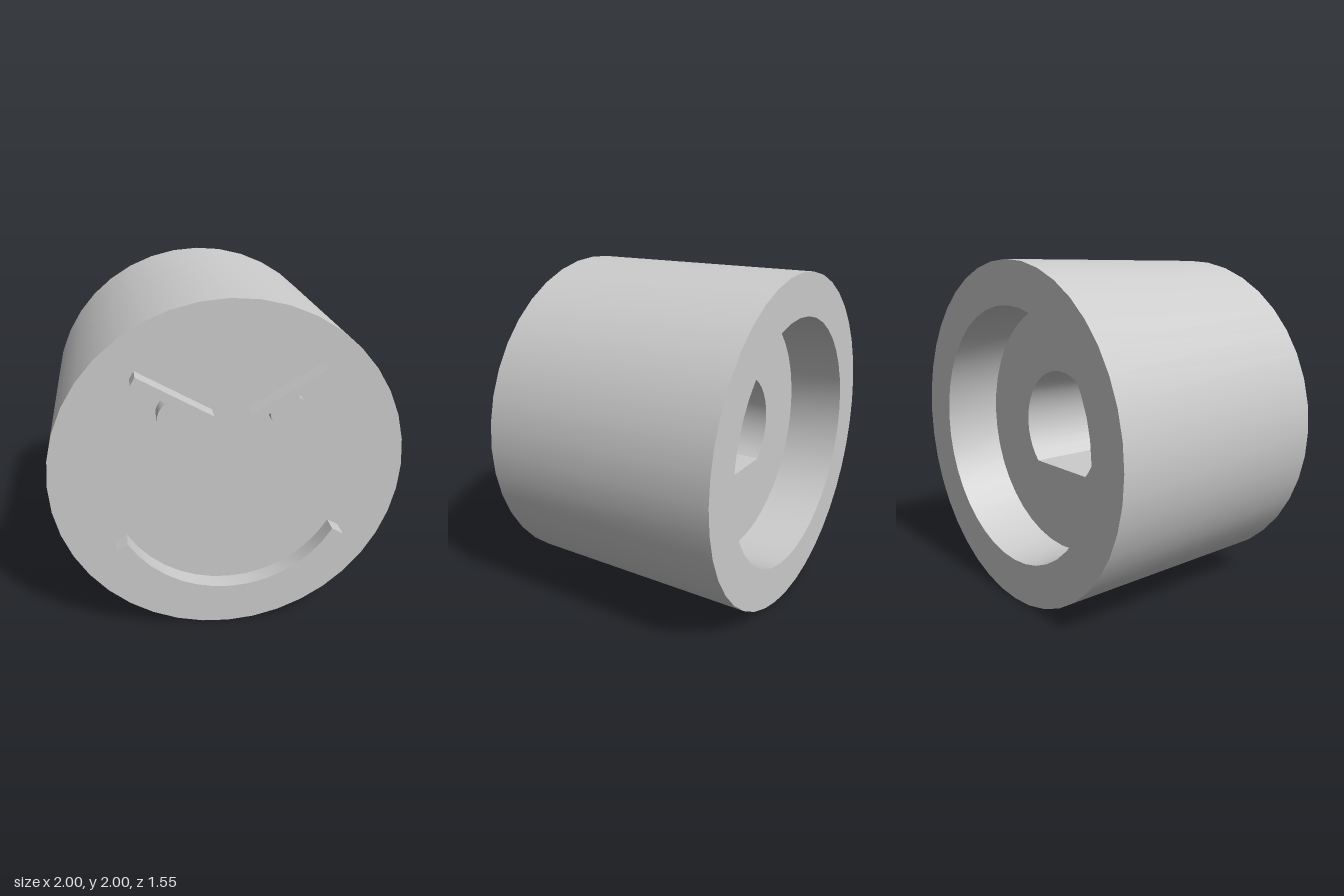
import * as THREE from 'three';
import { toCreasedNormals } from 'three/addons/utils/BufferGeometryUtils.js';

const BACK = -0.775, FLOOR = -0.425, SOCKET_END = 0.575, FACE = 0.675, RELIEF = 0.1;
const CREASE = 0.6;
const rad = THREE.MathUtils.degToRad;

// Points along an arc, angles in degrees
function arc(cx, cy, r, from, to, n) {
  return Array.from({ length: n + 1 }, (_, i) => {
    const a = rad(from + ((to - from) * i) / n);
    return new THREE.Vector2(cx + r * Math.cos(a), cy + r * Math.sin(a));
  });
}

export function createModel() {
  const group = new THREE.Group();
  const material = new THREE.MeshStandardMaterial({ color: 0xcccccc });
  const thin = new THREE.MeshStandardMaterial({ color: 0xcccccc, side: THREE.DoubleSide });

  function add(name, geometry, mat = material) {
    const mesh = new THREE.Mesh(geometry, mat);
    mesh.name = name;
    group.add(mesh);
    return mesh;
  }

  // Round body: recess wall, back rim, outer wall and front face in one turned profile
  const profile = [[0.75, FLOOR], [0.75, BACK], [1, BACK], [1, FACE], [0, FACE]];
  const body = new THREE.LatheGeometry(profile.map(([r, z]) => new THREE.Vector2(r, z)), 40);
  body.rotateX(Math.PI / 2);
  add('body', toCreasedNormals(body, CREASE)).position.y = 1;

  // D-shaped shaft socket outline, flat side at the bottom
  const flat = THREE.MathUtils.radToDeg(Math.asin(0.25 / 0.35));
  const outline = arc(0, 0, 0.35, -flat, 180 + flat, 32);

  // Recess floor with the socket opening
  const floor = new THREE.Shape(arc(0, 0, 0.75, 0, 360, 40).slice(0, -1));
  floor.holes.push(new THREE.Path(outline));
  add('recessFloor', new THREE.ShapeGeometry(floor), thin).position.set(0, 1, FLOOR);

  // Socket wall: a strip wrapped around the outline
  const loop = [...outline, outline[0]];
  const wall = new THREE.PlaneGeometry(1, 1, loop.length - 1, 1);
  for (let i = 0; i < loop.length * 2; i++) {
    const p = loop[i % loop.length];
    wall.attributes.position.setXYZ(i, p.x, p.y, i < loop.length ? FLOOR : SOCKET_END);
  }
  add('socketWall', toCreasedNormals(wall, CREASE), thin).position.y = 1;
  add('socketEnd', new THREE.ShapeGeometry(new THREE.Shape(outline)), thin).position.set(0, 1, SOCKET_END);

  // Raised features on the front face
  function relief(name, points) {
    const geometry = new THREE.ExtrudeGeometry(new THREE.Shape(points), { depth: RELIEF, bevelEnabled: false });
    add(name, toCreasedNormals(geometry, CREASE)).position.z = FACE;
  }

  // Slanted brow merged with the round eye hanging below it
  const eye = [
    new THREE.Vector2(0.53, 1.595), new THREE.Vector2(0.505, 1.638),
    new THREE.Vector2(0.1, 1.403), new THREE.Vector2(0.125, 1.36),
    ...arc(0.3, 1.4, 0.1, 178, 422, 24),
  ];
  for (const [name, s] of [['leftEye', 1], ['rightEye', -1]]) {
    relief(name, eye.map((p) => new THREE.Vector2(p.x * s, p.y)));
  }

  // Curved smile
  relief('mouth', [...arc(0, 1, 0.75, 210, 330, 14), ...arc(0, 1, 0.675, 330, 210, 14)]);

  return group;
}
